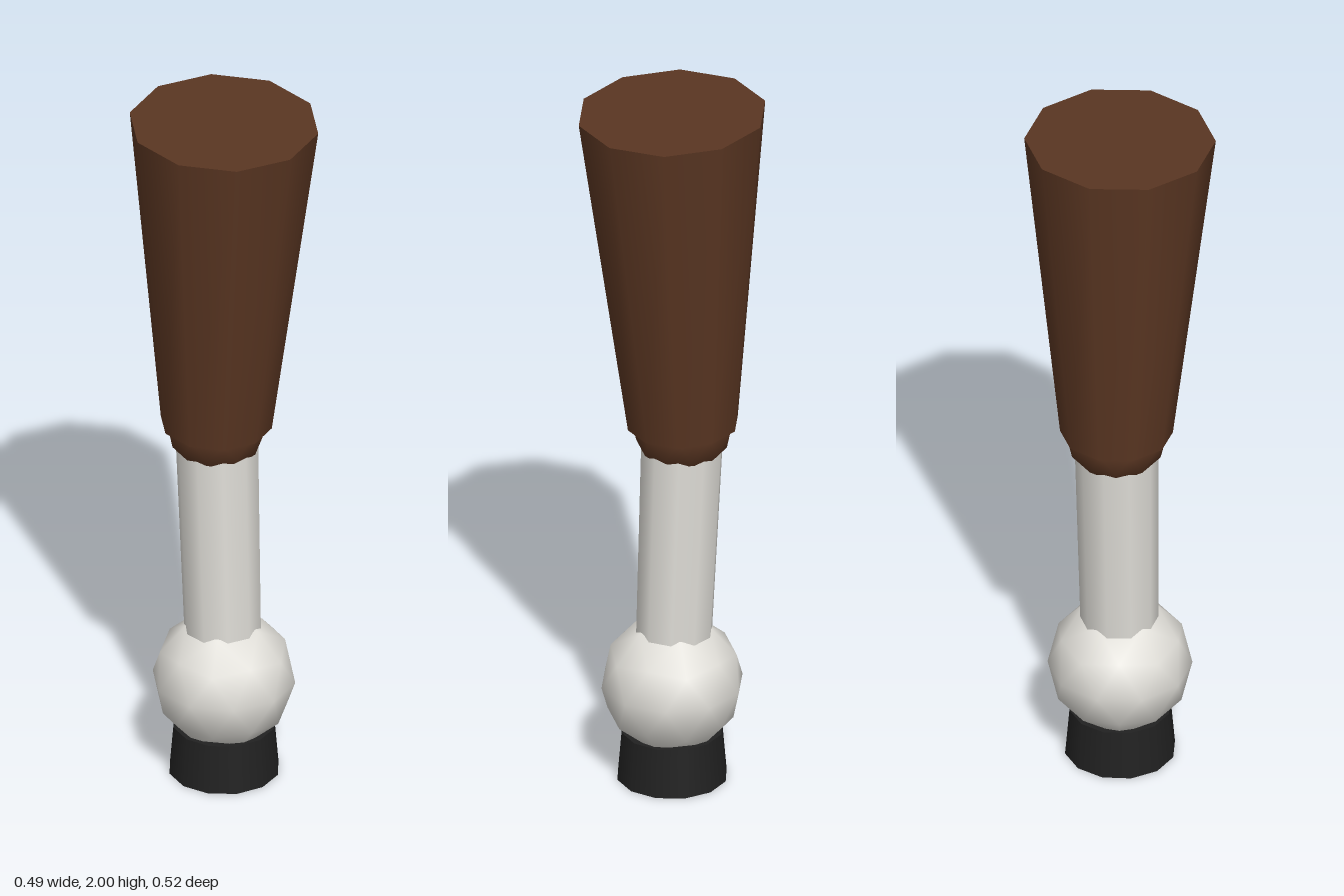
import * as THREE from 'three';

const coat = new THREE.MeshStandardMaterial({ color: 0x5a3622 });
coat.name = 'brown coat';
const sock = new THREE.MeshStandardMaterial({ color: 0xe0ded8 });
sock.name = 'white sock';
const horn = new THREE.MeshStandardMaterial({ color: 0x212121 });
horn.name = 'black hoof';

export function createModel() {
  const leg = new THREE.Group();
  leg.name = 'leg';

  function add(name, geometry, material) {
    const mesh = new THREE.Mesh(geometry, material);
    mesh.name = name;
    leg.add(mesh);
    return mesh;
  }

  // Tapered bone running between two points in the y-z plane
  function bone(name, [y0, z0, r0], [y1, z1, r1], sides, material) {
    const length = Math.hypot(y1 - y0, z1 - z0);
    const mesh = add(name, new THREE.CylinderGeometry(r1, r0, length, sides), material);
    mesh.position.set(0, (y0 + y1) / 2, (z0 + z1) / 2);
    mesh.rotation.x = Math.atan2(z1 - z0, y1 - y0);
  }

  // Low-poly ball joint, turned so that one corner points straight up
  function joint(name, y, z, radius, material) {
    const geometry = new THREE.IcosahedronGeometry(radius, 1);
    geometry.rotateZ(-Math.atan(2 / (1 + Math.sqrt(5))));
    add(name, geometry, material).position.set(0, y, z);
  }

  bone('upperLeg', [1.055, -0.03, 0.152], [1.992, 0, 0.258], 10, coat);
  joint('knee', 1.06, -0.03, 0.14, coat);
  bone('cannon', [0.28, 0, 0.103], [1.06, -0.03, 0.114], 10, sock);
  joint('fetlock', 0.281, 0, 0.195, sock);
  bone('hoof', [0, 0, 0.151], [0.14, 0, 0.139], 12, horn);

  return leg;
}
